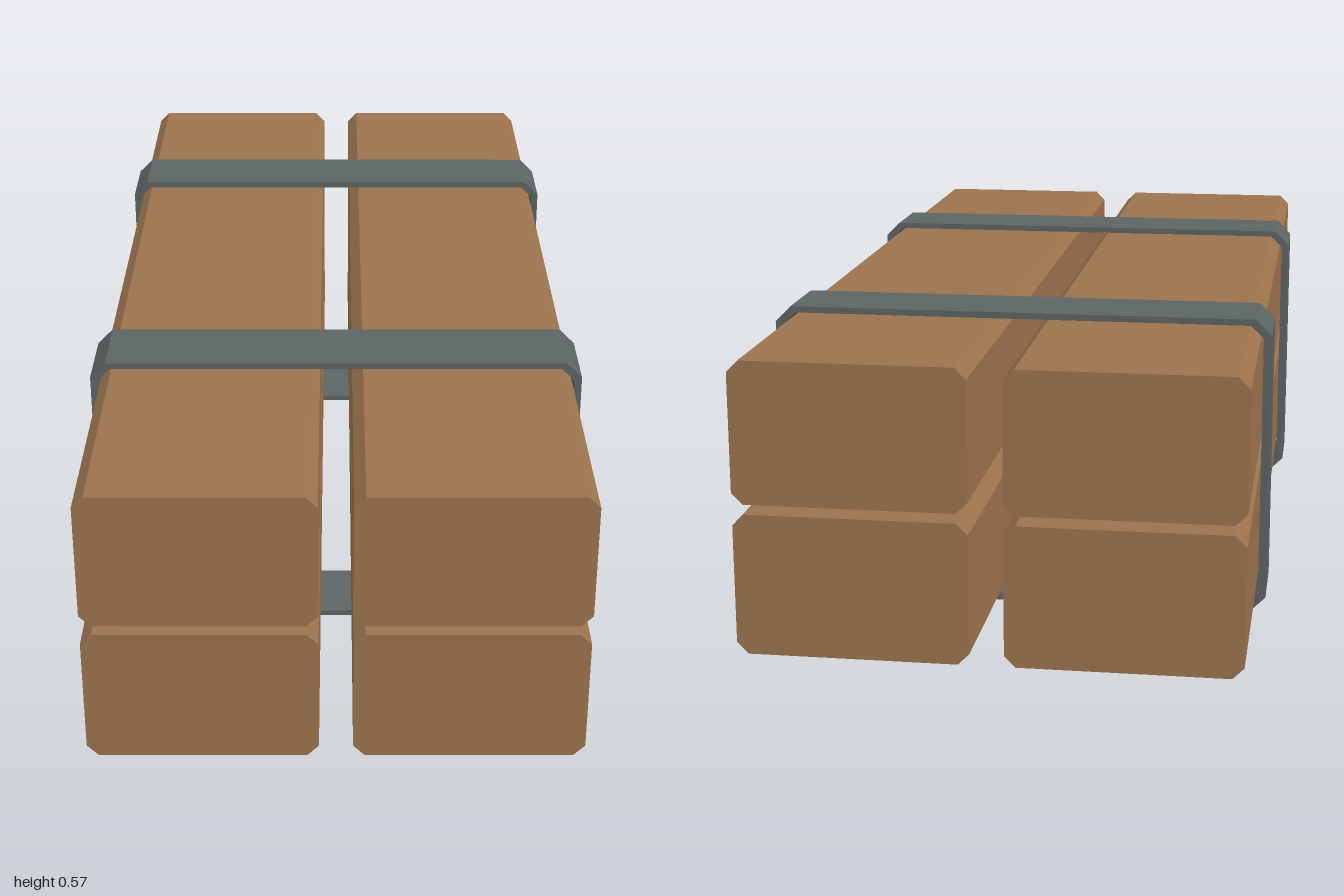
import * as THREE from 'three';

// Rectangle outline with cut corners
function chamferedRect(path, x0, y0, x1, y1, c) {
  path.moveTo(x0 + c, y0);
  path.lineTo(x1 - c, y0);
  path.lineTo(x1, y0 + c);
  path.lineTo(x1, y1 - c);
  path.lineTo(x1 - c, y1);
  path.lineTo(x0 + c, y1);
  path.lineTo(x0, y1 - c);
  path.lineTo(x0, y0 + c);
  path.closePath();
  return path;
}

function extrude(shape, depth, z) {
  const geometry = new THREE.ExtrudeGeometry(shape, { depth, bevelEnabled: false });
  return geometry.translate(0, 0, z - depth / 2);
}

export function createModel() {
  const wood = new THREE.MeshStandardMaterial({ name: 'wood', color: 0x9c734d });
  const steel = new THREE.MeshStandardMaterial({ name: 'steel', color: 0x5c6464 });
  const model = new THREE.Group();
  model.name = 'beamBundle';

  const add = (name, geometry, material) => {
    const mesh = new THREE.Mesh(geometry, material);
    mesh.name = name;
    model.add(mesh);
  };

  // Four chamfered beams in a two by two stack
  for (const [row, y] of [['lower', 0.018], ['upper', 0.298]]) {
    for (const [side, x] of [['Right', -0.455], ['Left', 0.031]]) {
      const shape = chamferedRect(new THREE.Shape(), x, y, x + 0.424, y + 0.262, 0.021);
      add(`${row}${side}Beam`, extrude(shape, 2, 0), wood);
    }
  }

  // Two straps wrapped around the stack
  for (const [name, z] of [['frontStrap', 0.432], ['backStrap', -0.536]]) {
    const shape = chamferedRect(new THREE.Shape(), -0.475, 0, 0.475, 0.575, 0.03);
    shape.holes.push(chamferedRect(new THREE.Path(), -0.46, 0.012, 0.46, 0.563, 0.024));
    add(name, extrude(shape, 0.154, z), steel);
  }

  return model;
}
